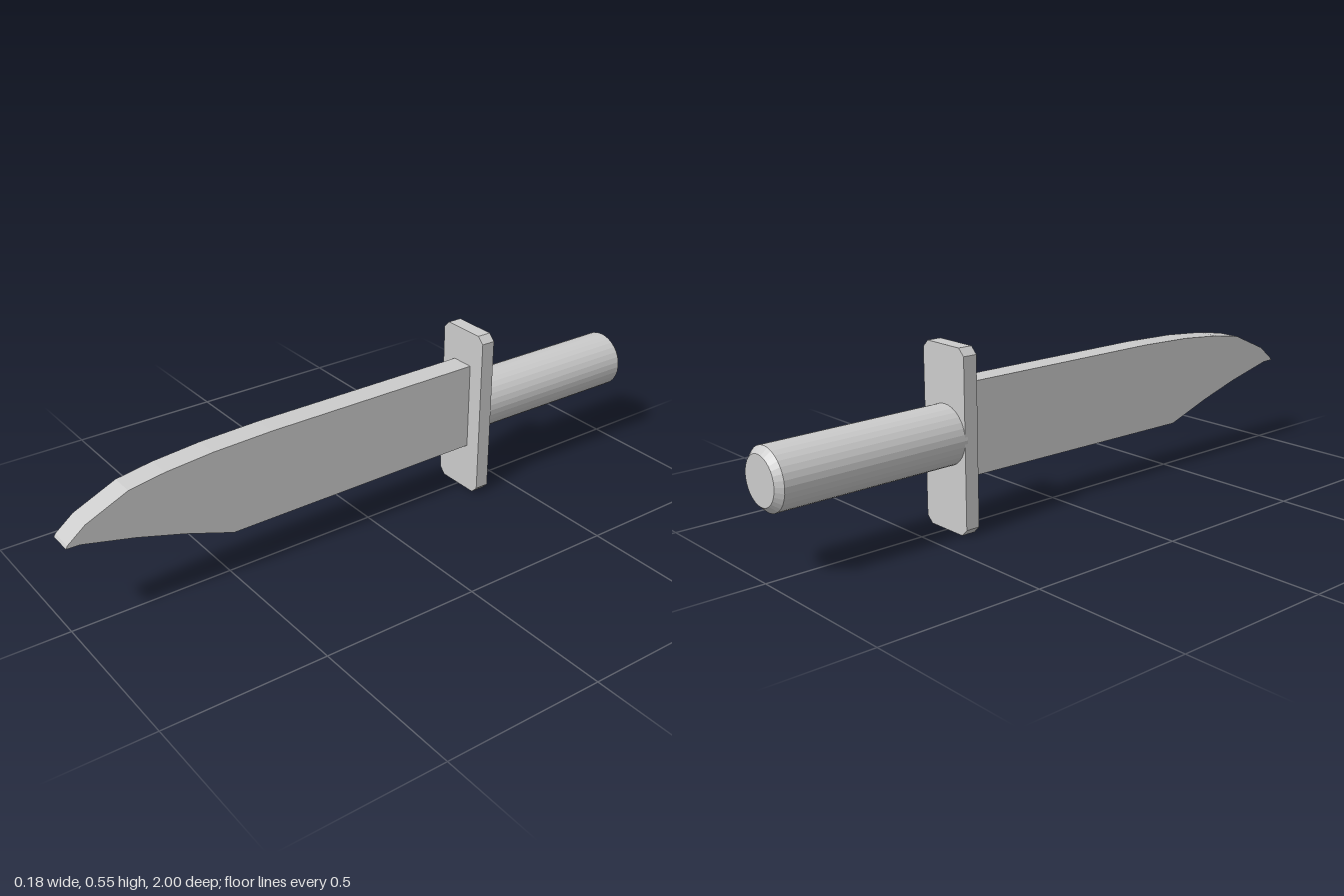
import * as THREE from 'three';

// Extrudes a centred outline by depth along z
function slab(points, depth) {
  const shape = new THREE.Shape(points.map(([x, y]) => new THREE.Vector2(x, y)));
  return new THREE.ExtrudeGeometry(shape, { depth, bevelEnabled: false }).translate(0, 0, -depth / 2);
}

export function createModel() {
  const model = new THREE.Group();
  const material = new THREE.MeshStandardMaterial({ color: 0xcccccc, flatShading: true });
  const add = (name, geometry) => {
    const mesh = new THREE.Mesh(geometry, material);
    mesh.name = name;
    model.add(mesh);
    return mesh;
  };

  // Blade: side outline as (z, y), from the guard along the edge to the tip and back along the spine
  const bladeOutline = [
    [-0.38, 0.155], [0.5, 0.15], [0.65, 0.202], [0.8, 0.246], [0.96, 0.284], [1, 0.285],
    [0.995, 0.294], [0.94, 0.338], [0.81, 0.396], [0.7, 0.414], [0.55, 0.427], [0.36, 0.433], [-0.38, 0.433],
  ];
  add('blade', slab(bladeOutline, 0.075).rotateY(-Math.PI / 2));

  // Guard: upright plate with clipped corners
  const w = 0.091, h = 0.545, c = 0.021;
  const guard = add('guard', slab([
    [-w + c, 0], [w - c, 0], [w, c], [w, h - c],
    [w - c, h], [-w + c, h], [-w, h - c], [-w, c],
  ], 0.045));
  guard.position.z = -0.387;

  // Handle: round grip with a chamfered butt, drooping very slightly
  const profile = [[0, 0], [0.09, 0], [0.09, 0.581], [0.071, 0.6], [0, 0.6]];
  const handle = add('handle', new THREE.LatheGeometry(
    profile.map(([r, y]) => new THREE.Vector2(r, y)), 32).rotateX(-Math.PI / 2));
  handle.position.set(-0.002, 0.285, -0.4);
  handle.rotation.x = -0.0085;

  return model;
}
